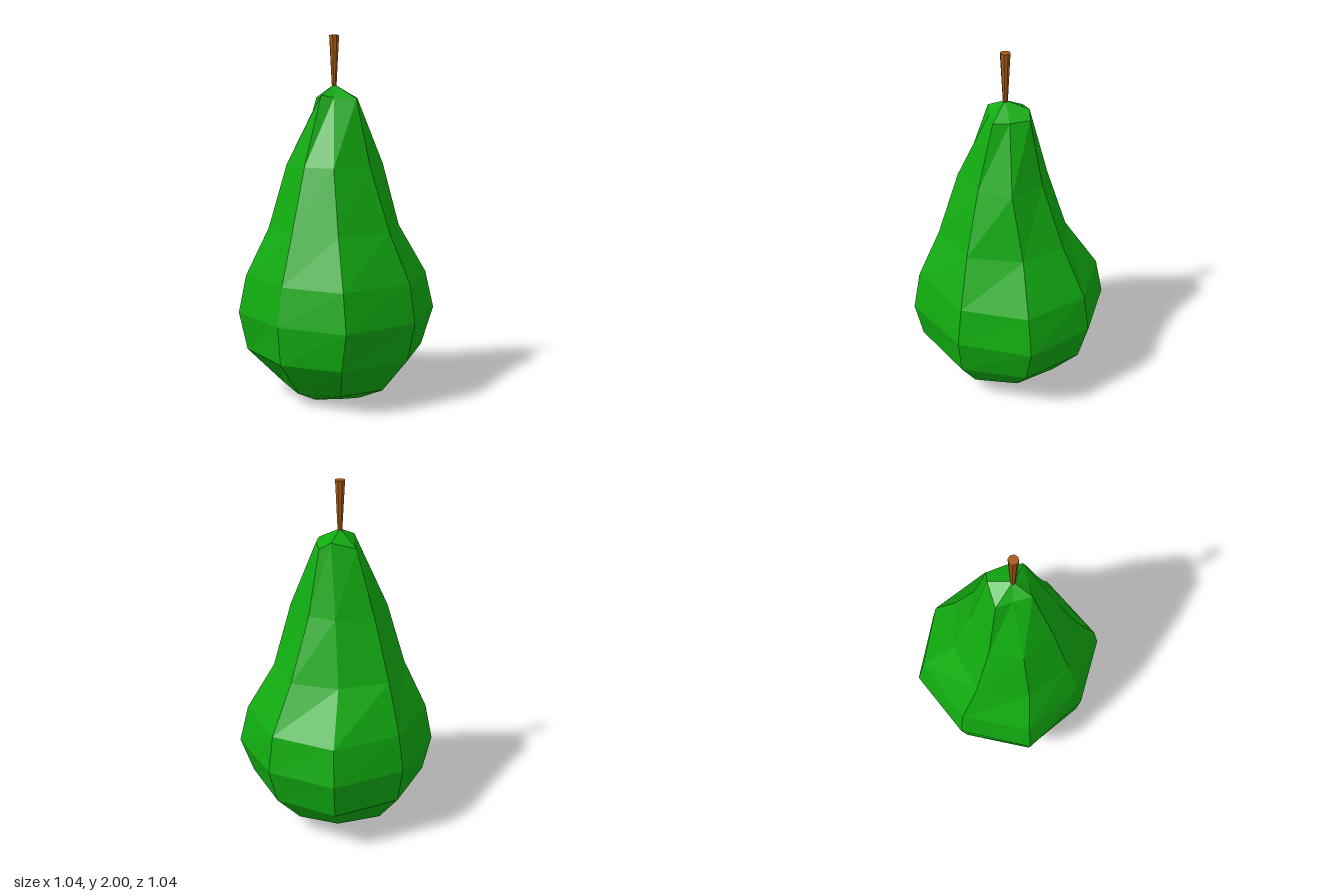
import * as THREE from 'three';

// Rings, bottom to top: height, half width, side z, front z, back z,
// then x,z of the four diagonal corners: front +x, front -x, back -x, back +x
const RINGS = [
  [0.00, 0.18, 0.04, 0.22, -0.14, 0.10, 0.14, -0.10, 0.14, -0.10, -0.06, 0.10, -0.06],
  [0.07, 0.33, 0.03, 0.36, -0.29, 0.22, 0.26, -0.20, 0.25, -0.21, -0.19, 0.22, -0.19],
  [0.26, 0.48, 0.01, 0.50, -0.46, 0.335, 0.40, -0.36, 0.37, -0.34, -0.35, 0.34, -0.33],
  [0.47, 0.52, 0.00, 0.52, -0.52, 0.38, 0.42, -0.395, 0.40, -0.37, -0.39, 0.38, -0.39],
  [0.68, 0.485, 0.00, 0.485, -0.485, 0.345, 0.40, -0.365, 0.37, -0.34, -0.36, 0.35, -0.35],
  [0.95, 0.375, 0.035, 0.40, -0.34, 0.25, 0.32, -0.255, 0.30, -0.23, -0.21, 0.24, -0.24],
  [1.30, 0.25, 0.045, 0.295, -0.20, 0.16, 0.245, -0.19, 0.22, -0.14, -0.14, 0.20, -0.14],
  [1.66, 0.14, 0.022, 0.153, -0.118, 0.05, 0.105, -0.07, 0.08, -0.05, -0.08, 0.09, -0.05],
];
// Uneven heights of the corners around the neck
const NECK_LIFT = [0, 0.005, 0.02, 0.005, 0, 0.035, 0, 0];

function ringPoints([y, w, sz, f, b, ax, az, bx, bz, cx, cz, dx, dz], index) {
  const corners = [[w, sz], [ax, az], [0, f], [bx, bz], [-w, sz], [cx, cz], [0, b], [dx, dz]];
  const isNeck = index === RINGS.length - 1;
  return corners.map(([x, z], i) => [x, y + (isNeck ? NECK_LIFT[i] : 0), z]);
}

function bodyGeometry() {
  const rings = RINGS.map(ringPoints);
  const crown = [0, 1.735, 0.04];
  const base = [0, 0.02, 0.04];
  const top = rings[rings.length - 1];
  const positions = [];
  const tri = (...points) => points.forEach((p) => positions.push(...p));
  for (let i = 0; i < 8; i++) {
    const j = (i + 1) % 8;
    for (let r = 0; r < rings.length - 1; r++) {
      const lower = rings[r], upper = rings[r + 1];
      tri(lower[i], upper[i], lower[j]);
      tri(lower[j], upper[i], upper[j]);
    }
    tri(top[i], crown, top[j]);
    tri(rings[0][i], rings[0][j], base);
  }
  const geometry = new THREE.BufferGeometry();
  geometry.setAttribute('position', new THREE.Float32BufferAttribute(positions, 3));
  geometry.computeVertexNormals();
  return geometry;
}

export function createModel() {
  const skin = new THREE.MeshStandardMaterial({ color: 0x11ab10, flatShading: true });
  skin.name = 'green skin';
  const wood = new THREE.MeshStandardMaterial({ color: 0xa65a14, flatShading: true });
  wood.name = 'brown wood';

  const group = new THREE.Group();
  group.name = 'pear';

  // Faceted fruit
  const body = new THREE.Mesh(bodyGeometry(), skin);
  body.name = 'body';
  group.add(body);

  // Stem, wider at its top
  const stem = new THREE.Mesh(new THREE.CylinderGeometry(0.028, 0.013, 0.28, 8), wood);
  stem.name = 'stem';
  stem.rotation.y = Math.PI / 8;
  stem.position.set(0, 1.86, 0.04);
  group.add(stem);

  return group;
}
